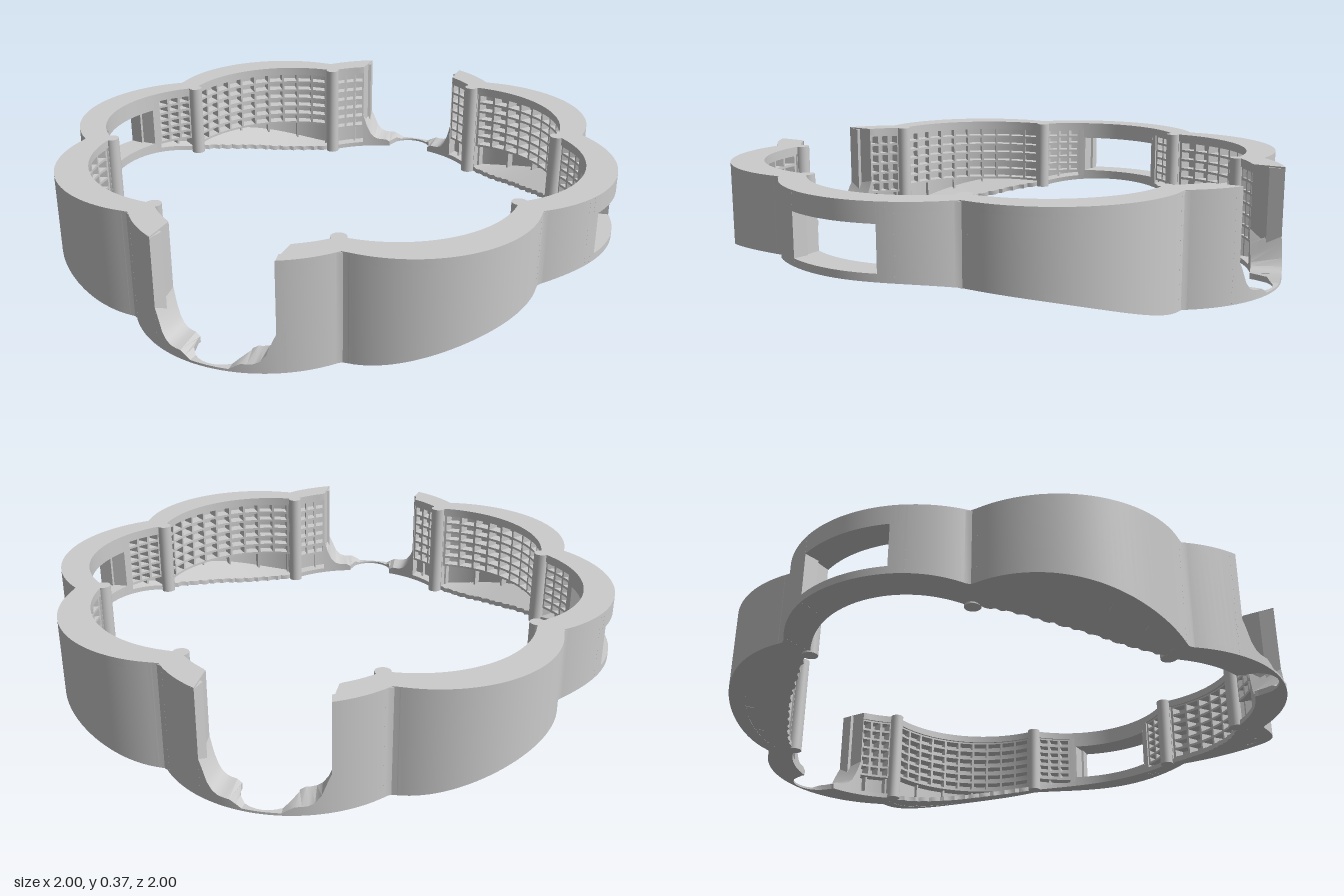
import * as THREE from 'three';
import { mergeGeometries, toCreasedNormals } from 'three/addons/utils/BufferGeometryUtils.js';

const Q = Math.PI / 2, TOP = 0.37;
const JOIN = 0.4;                 // angle where a side lobe meets a diagonal lobe
const WIN = 0.1635;               // half angle of the side windows
const GAP = Q - 0.207;            // angle where the front and back gaps start
const material = new THREE.MeshStandardMaterial({ color: 0xcccccc, side: THREE.DoubleSide });

// Far hit of a ray from the origin on a circle at distance c along its own axis
function far(d, c, r) {
  const s = r * r - (c * Math.sin(d)) ** 2;
  return s < 0 ? 0 : c * Math.cos(d) + Math.sqrt(s);
}
const fold = t => ((t % Q) + Q) % Q;
// Eight-lobed outline: four lobes on the axes, four on the diagonals
function outline(t, cAxis, rAxis, cDiag, rDiag) {
  const a = fold(t);
  return Math.max(far(a, cAxis, rAxis), far(a - Q, cAxis, rAxis), far(a - Q / 2, cDiag * Math.SQRT2, rDiag));
}
const outer = t => outline(t, 0.555, 0.445, 0.4, 0.43);
const inner = t => outline(t, 0.5, 0.395, 0.33, 0.415);
const depth = f => t => outer(t) + (inner(t) - outer(t)) * f;
// Inward edge of the floor shelves, slightly stepped
const shelfEdge = t => {
  const s = (fold(t) - Q / 2) / 0.37;
  return 0.783 + 0.027 * s * s + 0.007 * (Math.floor(fold(t) * 36) % 2);
};
// Underside rises towards the two sides
const bottom = x => 0.135 * THREE.MathUtils.smoothstep(Math.abs(x), 0.33, 1);

// Closed bar swept round the ring, between two radii and two heights
function sweep(t0, t1, rOut, rIn, lo, hi, clampX = 0, clampZ = 0) {
  const n = Math.max(1, Math.ceil((t1 - t0) / 0.02));
  const val = (f, x, z) => typeof f === 'function' ? f(x, z) : Math.max(f, bottom(x));
  const rings = [];
  for (let i = 0; i <= n; i++) {
    const t = t0 + (t1 - t0) * i / n;
    const at = (r, h) => {
      let x = r * Math.cos(t), z = r * Math.sin(t);
      if (Math.abs(x) < clampX) x = Math.sign(x) * clampX;
      if (Math.abs(z) < clampZ) z = Math.sign(z) * clampZ;
      return [x, val(h, x, z), z];
    };
    rings.push([at(rOut(t), lo), at(rOut(t), hi), at(rIn(t), hi), at(rIn(t), lo)]);
  }
  const pos = [];
  const quad = (a, b, c, d) => pos.push(...a, ...b, ...c, ...a, ...c, ...d);
  for (let i = 0; i < n; i++) for (let k = 0; k < 4; k++) {
    const m = (k + 1) % 4;
    quad(rings[i][k], rings[i][m], rings[i + 1][m], rings[i + 1][k]);
  }
  const [A, B, C, D] = rings[0], [E, F, G, H] = rings[n];
  quad(A, D, C, B);
  quad(E, F, G, H);
  const g = new THREE.BufferGeometry();
  g.setAttribute('position', new THREE.Float32BufferAttribute(pos, 3));
  return g;
}

// Same bar in all four quadrants
function mirrored(a, b, ...rest) {
  return [[a, b], [2 * Q - b, 2 * Q - a], [2 * Q + a, 2 * Q + b], [4 * Q - b, 4 * Q - a]]
    .map(([s, e]) => sweep(s, e, ...rest));
}

// Open grid of ribs on the inner face of the wall
function lattice(a, b, columns, low) {
  const parts = [], back = depth(0.45), face = depth(0.93);
  const rows = 6;
  for (let i = 0; i <= rows; i++) {
    const y = low + (0.335 - low) * i / rows;
    parts.push(...mirrored(a, b, back, face, y, y + 0.009));
  }
  for (let i = 0; i <= columns; i++) {
    const t = a + (b - a) * i / columns;
    parts.push(...mirrored(t - 0.005, t + 0.005, back, face, low, 0.345));
    if (i % 2 === 0) parts.push(...mirrored(t - 0.004, t + 0.004, back, depth(0.75), x => bottom(x), low + 0.005));
  }
  return parts;
}

export function createModel() {
  const group = new THREE.Group();
  const add = (name, parts) => {
    const mesh = new THREE.Mesh(toCreasedNormals(mergeGeometries(parts), 0.5), material);
    mesh.name = name;
    group.add(mesh);
  };
  const low = x => bottom(x);
  const floorTop = x => bottom(x) + 0.018;

  // Outer wall, split where lobes meet
  const wall = [];
  for (const [a, b] of [[WIN, JOIN], [JOIN, Q - JOIN], [Q - JOIN, GAP]])
    wall.push(...mirrored(a, b, outer, depth(0.5), low, TOP - 0.005));
  add('outerWall', wall);

  // Flat top rim
  const rim = [];
  for (const [a, b] of [[WIN, JOIN], [JOIN, Q - JOIN], [Q - JOIN, GAP]])
    rim.push(...mirrored(a, b, outer, inner, 0.342, TOP, 0.2));
  add('topRim', rim);

  // Floor, widened into shelves under the diagonal lobes
  const floor = [
    ...mirrored(WIN, JOIN, outer, inner, low, floorTop),
    ...mirrored(Q - JOIN, GAP, outer, inner, low, floorTop),
    ...mirrored(JOIN, Q - JOIN, outer, shelfEdge, low, floorTop),
  ];
  add('floor', floor);

  // Side windows: sill, lintel and solid jambs
  const windows = [];
  for (const c of [0, 2 * Q]) {
    windows.push(sweep(c - 0.19, c + 0.19, outer, inner, low, 0.16));
    windows.push(sweep(c - 0.19, c + 0.19, outer, inner, 0.305, TOP));
  }
  windows.push(...mirrored(WIN, 0.215, outer, inner, low, TOP - 0.002, 0, 0.16));
  add('windowFrames', windows);

  // Solid ends beside the gaps
  add('gapEnds', mirrored(GAP - 0.025, GAP, outer, inner, low, TOP - 0.002, 0.2));

  // Posts where lobes meet, with round vertical beads
  const posts = [
    ...mirrored(JOIN - 0.025, JOIN + 0.025, outer, inner, low, TOP - 0.003),
    ...mirrored(Q - JOIN - 0.025, Q - JOIN + 0.025, outer, inner, low, TOP - 0.003),
  ];
  for (const sx of [-1, 1]) for (const sz of [-1, 1]) for (const [x, z] of [[0.745, 0.31], [0.31, 0.745]]) {
    const y0 = bottom(x), h = TOP - y0;
    const bead = new THREE.CylinderGeometry(0.026, 0.026, h, 16).toNonIndexed();
    bead.deleteAttribute('uv');
    bead.deleteAttribute('normal');
    bead.translate(sx * x, y0 + h / 2, sz * z);
    posts.push(bead);
  }
  add('cornerPosts', posts);

  // Inner grids
  add('diagonalGrids', lattice(JOIN + 0.03, Q - JOIN - 0.03, 10, 0.11));
  add('sideGrids', lattice(0.22, JOIN - 0.03, 3, 0.15));
  add('endGrids', lattice(Q - JOIN + 0.03, GAP - 0.03, 3, 0.09));

  // Low bridges across the gaps, with a round notch and curved ends
  const bridgeTop = x => {
    const a = Math.abs(x);
    if (a < 0.09) return 0.008 + 0.012 * (a > 0.065);
    return 0.03 + 0.12 * Math.max(0, Math.min(1, (a - 0.1) / 0.1)) ** 4;
  };
  const bridges = [];
  for (const c of [Q, 3 * Q]) {
    const notch = t => far(t - c, 0.9, 0.09) || inner(t);
    bridges.push(sweep(c - 0.1, c + 0.1, outer, notch, low, bridgeTop));
    bridges.push(sweep(c - 0.235, c - 0.1, outer, inner, low, bridgeTop));
    bridges.push(sweep(c + 0.1, c + 0.235, outer, inner, low, bridgeTop));
  }
  add('gapBridges', bridges);

  return group;
}
